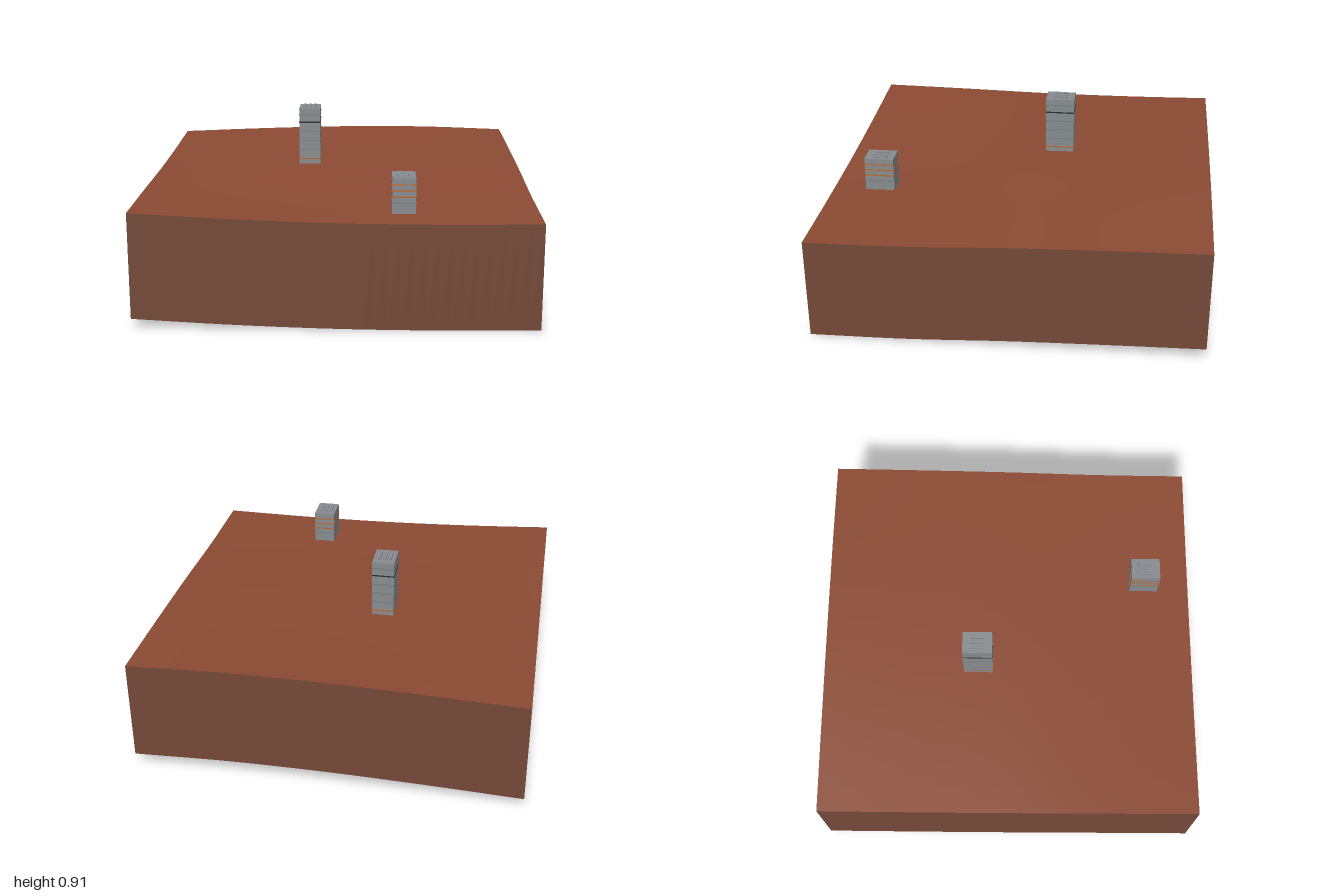
import * as THREE from 'three';

const mat = (name, color, side = THREE.FrontSide) => {
  const m = new THREE.MeshStandardMaterial({ color, side });
  m.name = name;
  return m;
};

// Ground heights, rows from z = -1 to z = 1, columns from x = -1 to x = 1
const HEIGHTS = [
  [0.585, 0.606, 0.62, 0.621, 0.605],
  [0.575, 0.587, 0.595, 0.595, 0.592],
  [0.573, 0.578, 0.581, 0.578, 0.575],
  [0.58, 0.56, 0.549, 0.548, 0.55],
  [0.585, 0.558, 0.541, 0.536, 0.54],
];
const DEPTH = 0.535;
const SEG = 32;

// Smooth interpolation through five evenly spaced values, t from -1 to 1
function smooth(v, t) {
  const s = (t + 1) * 2;
  const i = Math.min(3, Math.floor(s));
  const f = s - i;
  const at = (k) => (k < 0 ? 2 * v[0] - v[1] : k > 4 ? 2 * v[4] - v[3] : v[k]);
  const [a, b, c, d] = [at(i - 1), at(i), at(i + 1), at(i + 2)];
  return b + 0.5 * f * (c - a + f * (2 * a - 5 * b + 4 * c - d + f * (3 * (b - c) + d - a)));
}
const groundHeight = (x, z) => smooth(HEIGHTS.map((row) => smooth(row, x)), z);

export function createModel() {
  const model = new THREE.Group();
  const soil = mat('ground red', 0x8b4a33, THREE.DoubleSide);
  const earth = mat('earth brown', 0x734838, THREE.DoubleSide);
  const concrete = mat('concrete grey', 0x868b8f);
  const seam = mat('seam grey', 0x7a7f83);
  const dark = mat('dark band', 0x2b2e31);
  const orange = mat('orange band', 0xb8682e);

  const add = (parent, name, geometry, material, x = 0, y = 0, z = 0) => {
    const mesh = new THREE.Mesh(geometry, material);
    mesh.name = name;
    mesh.position.set(x, y, z);
    parent.add(mesh);
    return mesh;
  };

  // Rolling ground surface
  const ground = new THREE.PlaneGeometry(2, 2, SEG, SEG).rotateX(-Math.PI / 2);
  const p = ground.attributes.position;
  for (let i = 0; i < p.count; i++) p.setY(i, groundHeight(p.getX(i), p.getZ(i)));
  ground.computeVertexNormals();
  add(model, 'ground', ground, soil);

  // Four skirt walls, open below, whose lower edge follows the ground
  const walls = [
    ['frontWall', 0], ['leftWall', Math.PI / 2], ['backWall', Math.PI], ['rightWall', -Math.PI / 2],
  ];
  for (const [name, angle] of walls) {
    const wall = new THREE.PlaneGeometry(2, 1, SEG, 1).translate(0, 0, 1).rotateY(angle);
    const w = wall.attributes.position;
    for (let i = 0; i < w.count; i++) {
      const drop = w.getY(i) < 0 ? DEPTH : 0;
      w.setY(i, groundHeight(w.getX(i), w.getZ(i)) - drop);
    }
    add(model, name, wall, earth);
  }

  // Block tower with floor bands and raised roof ribs
  function tower(name, x, z, bottom, top, bands, ribs, ribY) {
    const g = new THREE.Group();
    g.name = name;
    g.position.set(x, 0, z);
    const W = 0.117, D = 0.155;
    add(g, 'towerBody', new THREE.BoxGeometry(W, top - bottom, D), concrete, 0, (top + bottom) / 2, 0);
    for (const [y, material] of bands) {
      add(g, 'floorBand', new THREE.BoxGeometry(W + 0.002, 0.007, D + 0.002), material, 0, y, 0);
    }
    for (let i = 0; i < ribs; i++) {
      const rx = (i - (ribs - 1) / 2) * 0.028;
      add(g, 'roofRib', new THREE.BoxGeometry(0.016, ribY, 0.078), concrete, rx, top + ribY / 2, 0);
    }
    model.add(g);
  }

  tower('tallTower', -0.17, -0.167, 0.57, 0.897, [
    [0.612, orange], [0.664, seam], [0.716, seam], [0.768, seam], [0.82, dark], [0.862, seam],
  ], 3, 0.01);
  tower('shortTower', 0.332, 0.748, 0.53, 0.72, [
    [0.594, seam], [0.625, orange], [0.656, orange], [0.687, orange],
  ], 3, 0.006);

  return model;
}
